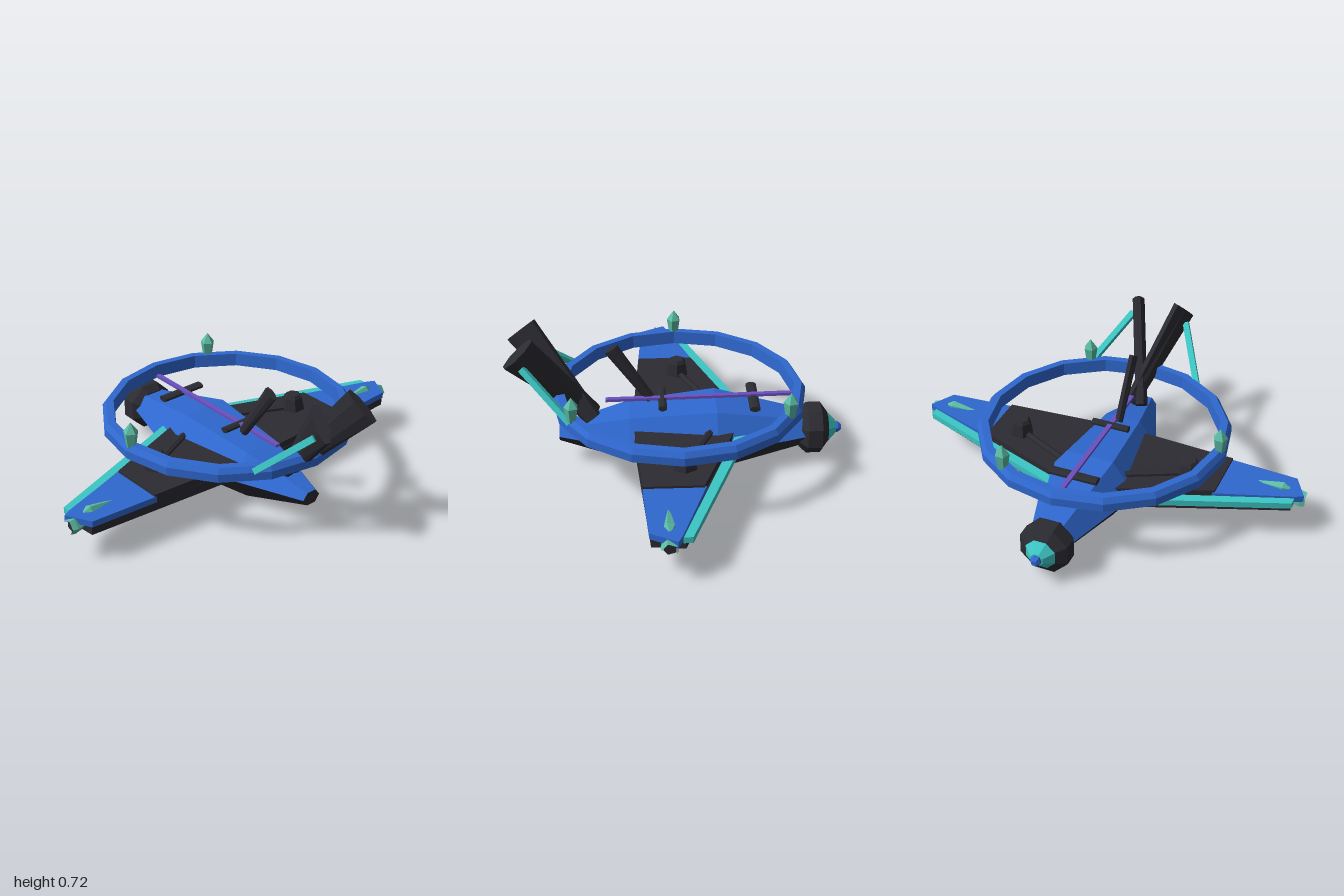
import * as THREE from 'three';

const mat = (name, color) => {
  const m = new THREE.MeshStandardMaterial({ color });
  m.name = name;
  return m;
};
const V = (x, y, z) => new THREE.Vector3(x, y, z);

export function createModel() {
  const group = new THREE.Group();
  const blue = mat('blue paint', 0x2f68cf);
  const dark = mat('dark metal', 0x2b2b32);
  const teal = mat('teal trim', 0x3cc6c4);
  const green = mat('green crystal', 0x5bbba3);
  const purple = mat('purple rod', 0x6a50c0);

  // adds a faceted mesh
  const add = (name, geo, material) => {
    const g = geo.index ? geo.toNonIndexed() : geo;
    g.computeVertexNormals();
    const mesh = new THREE.Mesh(g, material);
    mesh.name = name;
    group.add(mesh);
    return mesh;
  };

  // straight bar from a to b; width follows the hint, and may taper towards a
  const beam = (name, material, a, b, hint, width, thick, sides = 4, taper = 1) => {
    const Y = b.clone().sub(a), len = Y.length();
    Y.normalize();
    const X = hint.clone().addScaledVector(Y, -hint.dot(Y)).normalize();
    const Z = X.clone().cross(Y);
    const r = 0.5 / Math.cos(Math.PI / sides);
    const g = new THREE.CylinderGeometry(r, r, len, sides, 1, false, Math.PI / sides);
    g.scale(width, 1, thick);
    const p = g.attributes.position;
    for (let i = 0; i < p.count; i++) if (p.getY(i) < 0) p.setX(i, p.getX(i) * taper);
    g.applyMatrix4(new THREE.Matrix4().makeBasis(X, Y, Z).setPosition(a.clone().add(b).multiplyScalar(0.5)));
    return add(name, g, material);
  };

  // flat plate from an x,z outline between two heights, mirrored by s
  const plate = (name, material, s, pts, y0, y1) => {
    const shape = new THREE.Shape(pts.map(([x, z]) => new THREE.Vector2(x * s, -z)));
    const g = new THREE.ExtrudeGeometry(shape, { depth: y1 - y0, bevelEnabled: false });
    g.rotateX(-Math.PI / 2).translate(0, y0, 0);
    return add(name, g, material);
  };

  const lathe = (name, material, pts, sides, phi = 0) => {
    const g = new THREE.LatheGeometry(pts.map(([r, y]) => new THREE.Vector2(r, y)), sides, phi);
    return add(name, g, material);
  };

  // hexagonal hull: blue above, dark below
  const midY = 0.16, squash = 0.765;
  const stations = [[-0.63, 0.105], [-0.19, 0.24], [0.23, 0.18], [0.575, 0.05]];
  for (let i = 0; i < 3; i++) {
    const [z0, r0] = stations[i], [z1, r1] = stations[i + 1];
    for (const [name, material, start] of [['upperHull', blue, Math.PI / 2], ['lowerHull', dark, -Math.PI / 2]]) {
      const g = new THREE.CylinderGeometry(r1, r0, z1 - z0, 3, 1, true, start, Math.PI);
      g.rotateX(Math.PI / 2).scale(1, squash, 1).translate(0, midY, (z0 + z1) / 2);
      add(name, g, material);
    }
  }
  const nose = new THREE.CircleGeometry(0.05, 6);
  nose.scale(1, squash, 1).translate(0, midY, 0.575);
  add('noseCap', nose, dark);

  // tail engine
  const engine = [
    ['engineDrum', dark, [[0, 0.605], [0.095, 0.605], [0.127, 0.64], [0.127, 0.71], [0.078, 0.745]], 8],
    ['engineCone', teal, [[0.078, 0.745], [0.032, 0.787], [0, 0.787]], 8],
    ['engineTip', blue, [[0.026, 0.78], [0.028, 0.797], [0.014, 0.815], [0, 0.815]], 6],
  ];
  for (const [name, material, pts, sides] of engine) {
    const m = lathe(name, material, pts, sides, Math.PI / 8);
    m.rotation.x = -Math.PI / 2;
    m.position.y = 0.152;
  }

  // overhead ring
  lathe('ring', blue, [[0.555, 0.345], [0.615, 0.345], [0.615, 0.385], [0.597, 0.41],
    [0.56, 0.41], [0.555, 0.345]], 16).position.z = -0.01;

  // crystals standing on the ring
  for (let i = 0; i < 3; i++) {
    const a = Math.PI / 3 + i * Math.PI * 2 / 3;
    lathe('ringCrystal', green, [[0, 0.395], [0.024, 0.395], [0.036, 0.472], [0, 0.522]], 5)
      .position.set(0.585 * Math.cos(a), 0, -0.01 - 0.585 * Math.sin(a));
  }

  // spine rod with its crossbars and the small fin
  beam('spineRod', purple, V(0, 0.335, 0.345), V(0, 0.352, -0.57), V(1, 0, 0), 0.024, 0.014);
  beam('rearCrossbar', dark, V(-0.12, 0.334, -0.372), V(0.12, 0.334, -0.372), V(0, 0, 1), 0.05, 0.028, 8);
  beam('frontCrossbar', dark, V(-0.095, 0.334, 0.07), V(0.095, 0.334, 0.07), V(0, 0, 1), 0.04, 0.028, 8);
  beam('smallFin', dark, V(-0.02, 0.325, 0.125), V(-0.02, 0.603, 0.312), V(0, 0.5, -0.8), 0.07, 0.035, 8, 0.65);

  for (const s of [1, -1]) {
    // crossed fins and their struts
    beam('crossedFin', dark, V(-0.03 * s, 0.25, 0.41), V(0.125 * s, 0.663, 0.742),
      V(-0.045 * s, 0.115, -0.135), 0.18, 0.06, 8, 0.5);
    beam('finStrut', teal, V(0.29 * s, 0.385, 0.505), V(0.145 * s, 0.595, 0.725), V(1, 0, 0), 0.03, 0.03);

    // wing slabs and trim
    plate('wing', dark, s, [[0.1, -0.32], [0.945, 0], [0.93, 0.15], [0.1, 0.215]], 0.147, 0.196);
    plate('wingInnerPanel', dark, s, [[0.1, -0.29], [0.6, -0.1], [0.6, 0.178], [0.1, 0.21]], 0.196, 0.232);
    plate('wingTipPanel', blue, s, [[0.59, -0.11], [0.955, 0.015], [0.995, 0.035], [0.93, 0.157], [0.59, 0.18]],
      0.19, 0.221);
    plate('wingTrim', teal, s, [[0.16, -0.328], [0.955, -0.03], [0.955, 0.012], [0.16, -0.275]], 0.183, 0.214);

    // crystal lying on the wing
    const wingCrystal = lathe('wingCrystal', green, [[0, 0.71], [0.03, 0.885], [0, 0.935]], 5);
    wingCrystal.rotation.z = -s * Math.PI / 2;
    wingCrystal.position.set(0, 0.213, 0.07);

    // crystal at the wing tip
    const tip = lathe('tipCrystal', green, [[0.03, 0.92], [0.042, 0.975], [0.036, 1]], 5);
    tip.rotation.z = -s * Math.PI / 2;
    tip.position.set(0, 0.178, 0.07);
    const core = lathe('tipCore', dark, [[0.03, 0.92], [0.032, 0.985], [0, 0.985]], 5);
    core.rotation.z = -s * Math.PI / 2;
    core.position.set(0, 0.178, 0.07);

    // turret and its feed pipe
    lathe('turret', dark, [[0.062, 0.21], [0.06, 0.24], [0.048, 0.295], [0.036, 0.312], [0, 0.312]], 6, Math.PI / 6)
      .position.set(0.443 * s, 0, -0.02);
    beam('turretPipe', dark, V(0.42 * s, 0.236, -0.03), V(0.16 * s, 0.236, -0.155), V(0, 1, 0), 0.03, 0.032, 6);
  }

  return group;
}
